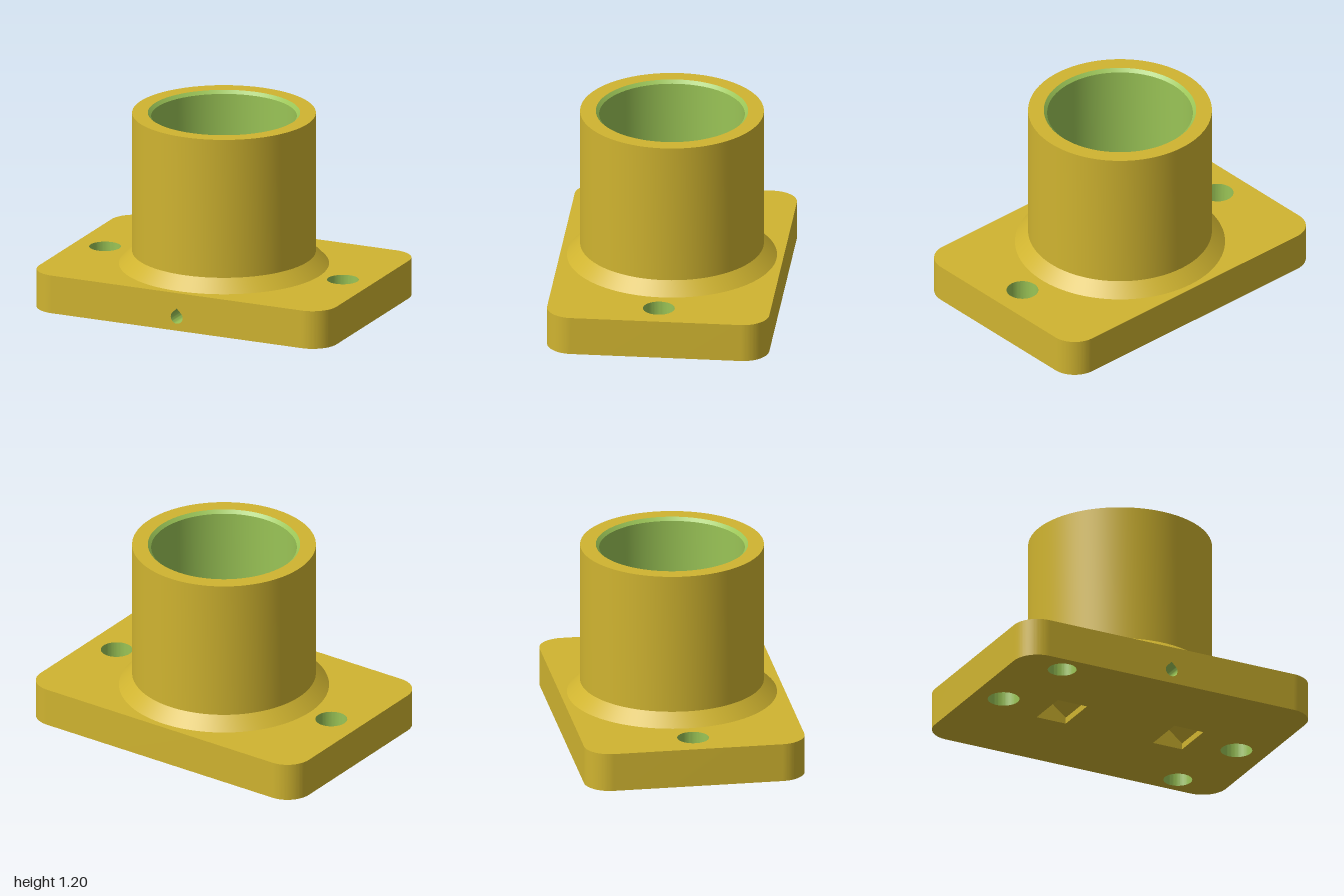
import * as THREE from 'three';
import { toCreasedNormals } from 'three/addons/utils/BufferGeometryUtils.js';

const yellow = new THREE.MeshStandardMaterial({ color: 0xd0b430, side: THREE.DoubleSide });
yellow.name = 'yellow body';
const green = new THREE.MeshStandardMaterial({ color: 0x9ac456, side: THREE.DoubleSide });
green.name = 'green cut';

const SEG = 64;
const PLATE_TOP = 0.24, HALF_X = 1, HALF_Z = 0.68, CORNER = 0.16;
const BOLT_X = 0.8, BOLT_R = 0.097;
const PIN_R = 0.088, PIN_DEPTH = 0.14, PINS = [[0.68, -0.54], [-0.68, 0.54]];
const SLOT_X = 0.4, SLOT_W = 0.1, SLOT_L = 0.14;
const FLOOR_Y = 0.16, SUMP_Y = 0.04, FLOOR_R = 0.3, SUMP_R = 0.195;

const v2 = (x, y) => new THREE.Vector2(x, y);
const sumpRadius = (y) => SUMP_R + (FLOOR_R - SUMP_R) * (y - SUMP_Y) / (FLOOR_Y - SUMP_Y);

// Surface between two matching rows of points
function strip(a, b) {
  const pos = [], index = [];
  a.forEach((p, i) => {
    pos.push(...p.toArray(), ...b[i].toArray());
    if (i > 0) {
      const k = 2 * i;
      index.push(k - 2, k, k - 1, k - 1, k, k + 1);
    }
  });
  const geo = new THREE.BufferGeometry();
  geo.setAttribute('position', new THREE.Float32BufferAttribute(pos, 3));
  geo.setIndex(index);
  return toCreasedNormals(geo, 0.5);
}

function lathe(profile, start = 0, length = Math.PI * 2) {
  const geo = new THREE.LatheGeometry(profile.map(([r, y]) => v2(r, y)), SEG * 2, start, length);
  return toCreasedNormals(geo, 0.5);
}

function circlePath(x, y, r) {
  return new THREE.Path().absarc(x, y, r, 0, Math.PI * 2, false);
}

// Rounded plate outline, open along its front edge
function plateShape() {
  const x = HALF_X - CORNER, z = HALF_Z - CORNER, q = Math.PI / 2;
  const s = new THREE.Shape();
  s.moveTo(x, HALF_Z);
  s.absarc(x, z, CORNER, q, 0, true);
  s.absarc(x, -z, CORNER, 0, -q, true);
  s.absarc(-x, -z, CORNER, -q, -2 * q, true);
  s.absarc(-x, z, CORNER, 2 * q, q, true);
  return s;
}

// Drain outline: a circle with a pointed 45 degree top
function teardrop() {
  const r = 0.04, cy = 0.085, pts = [v2(0, cy + r * Math.SQRT2)];
  for (let i = 0; i <= 24; i++) {
    const a = Math.PI * (0.75 + 1.5 * i / 24);
    pts.push(v2(r * Math.cos(a), cy + r * Math.sin(a)));
  }
  return pts;
}

export function createModel() {
  const model = new THREE.Group();
  const add = (name, geo, mat) => {
    const mesh = new THREE.Mesh(geo, mat);
    mesh.name = name;
    model.add(mesh);
    return mesh;
  };
  const drop = teardrop();

  // Plate top
  const top = plateShape();
  for (const s of [-1, 1]) top.holes.push(circlePath(s * BOLT_X, 0, BOLT_R));
  top.holes.push(circlePath(0, 0, 0.638));
  add('plateTop', new THREE.ShapeGeometry(top, 32).rotateX(-Math.PI / 2).translate(0, PLATE_TOP, 0), yellow);

  // Plate underside with bolt holes, pin sockets and slots
  const under = plateShape();
  for (const s of [-1, 1]) {
    under.holes.push(circlePath(s * BOLT_X, 0, BOLT_R));
    const cx = s * SLOT_X;
    under.holes.push(new THREE.Path([
      v2(cx - SLOT_W, -SLOT_L), v2(cx + SLOT_W, -SLOT_L),
      v2(cx + SLOT_W, SLOT_L), v2(cx - SLOT_W, SLOT_L),
    ]));
  }
  for (const [x, z] of PINS) under.holes.push(circlePath(x, z, PIN_R));
  add('plateUnderside', new THREE.ShapeGeometry(under, 32).rotateX(Math.PI / 2), yellow);

  // Plate sides, then the front wall with the drain opening
  const rim = plateShape().getPoints(16);
  add('plateSides', strip(
    rim.map((p) => new THREE.Vector3(p.x, PLATE_TOP, p.y)),
    rim.map((p) => new THREE.Vector3(p.x, 0, p.y)),
  ), yellow);
  const fx = HALF_X - CORNER;
  const front = new THREE.Shape([v2(-fx, 0), v2(fx, 0), v2(fx, PLATE_TOP), v2(-fx, PLATE_TOP)]);
  front.holes.push(new THREE.Path(drop));
  add('plateFront', new THREE.ShapeGeometry(front).translate(0, 0, HALF_Z), yellow);

  // Collar, tube and top lip
  add('tubeOutside', lathe([[0.64, PLATE_TOP], [0.56, 0.32], [0.56, 1.2], [0.464, 1.2]]), yellow);

  // Bore with chamfered mouth and flat floor
  add('bore', lathe([[0.464, 1.2], [0.444, 1.18], [0.444, FLOOR_Y], [FLOOR_R, FLOOR_Y]]), green);

  // Conical sump, with a front patch pierced by the drain
  const half = 0.3;
  add('sumpWall', lathe([[FLOOR_R, FLOOR_Y], [SUMP_R, SUMP_Y]], half, Math.PI * 2 - 2 * half), green);
  const edge = [];
  for (let i = 0; i <= 12; i++) edge.push(half * (i / 6 - 1));
  const patch = new THREE.Shape([
    ...edge.map((a) => v2(a, SUMP_Y)),
    ...edge.slice().reverse().map((a) => v2(a, FLOOR_Y)),
  ]);
  patch.holes.push(new THREE.Path(drop.map((p) => v2(Math.asin(p.x / sumpRadius(p.y)), p.y))));
  const patchGeo = new THREE.ShapeGeometry(patch);
  const pp = patchGeo.attributes.position;
  for (let i = 0; i < pp.count; i++) {
    const a = pp.getX(i), y = pp.getY(i), r = sumpRadius(y);
    pp.setXYZ(i, r * Math.sin(a), y, r * Math.cos(a));
  }
  // Inward-facing winding
  const idx = patchGeo.index.array;
  for (let i = 0; i < idx.length; i += 3) [idx[i], idx[i + 1]] = [idx[i + 1], idx[i]];
  patchGeo.computeVertexNormals();
  add('sumpDrainPatch', patchGeo, green);
  add('sumpFloor', new THREE.CircleGeometry(SUMP_R, SEG * 2).rotateX(-Math.PI / 2).translate(0, SUMP_Y, 0), green);

  // Drain channel from the sump to the front wall
  const loop = [...drop, drop[0]];
  add('drainChannel', strip(
    loop.map((p) => new THREE.Vector3(p.x, p.y, Math.sqrt(sumpRadius(p.y) ** 2 - p.x ** 2))),
    loop.map((p) => new THREE.Vector3(p.x, p.y, HALF_Z)),
  ), green);

  // Bolt holes and underside slots with gabled roofs
  for (const s of [-1, 1]) {
    add('boltHole', lathe([[BOLT_R, PLATE_TOP], [BOLT_R, 0]]), green).position.x = s * BOLT_X;

    const wall = 0.04, ridge = 0.12;
    const gable = [v2(-SLOT_W, 0), v2(-SLOT_W, wall), v2(0, ridge), v2(SLOT_W, wall), v2(SLOT_W, 0)];
    const slot = new THREE.Group();
    slot.name = 'undersideSlot';
    slot.position.x = s * SLOT_X;
    const roof = strip(
      gable.map((p) => new THREE.Vector3(p.x, p.y, SLOT_L)),
      gable.map((p) => new THREE.Vector3(p.x, p.y, -SLOT_L)),
    );
    slot.add(new THREE.Mesh(roof, yellow));
    for (const e of [-1, 1]) {
      const end = new THREE.ShapeGeometry(new THREE.Shape(gable));
      if (e > 0) end.rotateY(Math.PI);
      slot.add(new THREE.Mesh(end.translate(0, 0, e * SLOT_L), yellow));
    }
    slot.children.forEach((m, i) => { m.name = i === 0 ? 'slotRoof' : 'slotEnd'; });
    model.add(slot);
  }

  // Blind pin sockets
  for (const [x, z] of PINS) {
    add('pinSocket', lathe([[PIN_R, PIN_DEPTH], [PIN_R, 0]]), green).position.set(x, 0, z);
    add('pinSocketEnd', new THREE.CircleGeometry(PIN_R, SEG).rotateX(Math.PI / 2), green).position.set(x, PIN_DEPTH, z);
  }

  return model;
}
